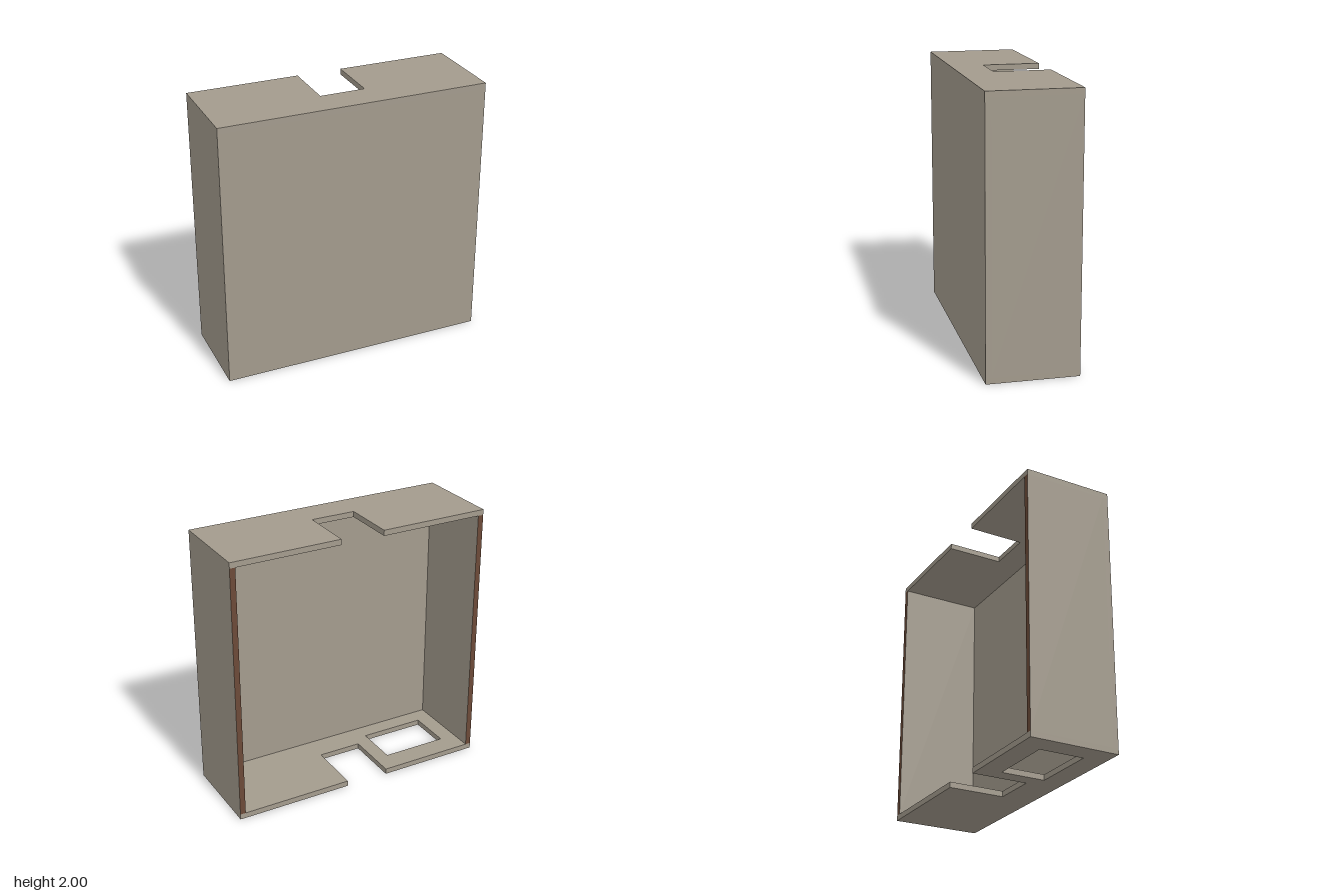
import * as THREE from 'three';

const W = 1, D = 0.333, H = 2, T = 0.042; // half width, half depth, height, wall thickness

export function createModel() {
  const group = new THREE.Group();
  const beige = new THREE.MeshStandardMaterial({ color: 0xa39b8d });
  beige.name = 'beige casing';
  const brown = new THREE.MeshStandardMaterial({ color: 0x6b4a38 });
  brown.name = 'brown edge';

  const add = (name, geometry, material, x, y, z) => {
    const mesh = new THREE.Mesh(geometry, material);
    mesh.name = name;
    mesh.position.set(x, y, z);
    group.add(mesh);
  };

  // Horizontal slab with a notch cut into its back edge; upper face at topY
  const addSlab = (name, topY, notchLeft, notchRight, hole) => {
    const notchZ = 0.088;
    const shape = new THREE.Shape([
      [-W, -D], [notchLeft, -D], [notchLeft, notchZ], [notchRight, notchZ],
      [notchRight, -D], [W, -D], [W, D], [-W, D],
    ].map(([x, z]) => new THREE.Vector2(x, z)));
    if (hole) {
      const [x0, z0, x1, z1] = hole;
      shape.holes.push(new THREE.Path([
        [x0, z0], [x0, z1], [x1, z1], [x1, z0],
      ].map(([x, z]) => new THREE.Vector2(x, z))));
    }
    const geometry = new THREE.ExtrudeGeometry(shape, { depth: T, bevelEnabled: false });
    geometry.rotateX(Math.PI / 2);
    add(name, geometry, beige, 0, topY, 0);
  };

  addSlab('topPanel', H, -0.168, 0.168);
  addSlab('bottomPanel', T, -0.222, 0.112, [-0.833, -0.168, -0.335, 0.166]);

  // Front wall between the slabs
  const innerH = H - 2 * T;
  add('frontPanel', new THREE.BoxGeometry(2 * W, innerH, T), beige, 0, H / 2, D - T / 2);

  // Side walls, with brown exposed rear edges (last box face is -z)
  const sideMaterials = [beige, beige, beige, beige, beige, brown];
  for (const [name, s] of [['leftWall', 1], ['rightWall', -1]]) {
    add(name, new THREE.BoxGeometry(T, innerH, 2 * D - T), sideMaterials,
      s * (W - T / 2), H / 2, -T / 2);
  }
  return group;
}
